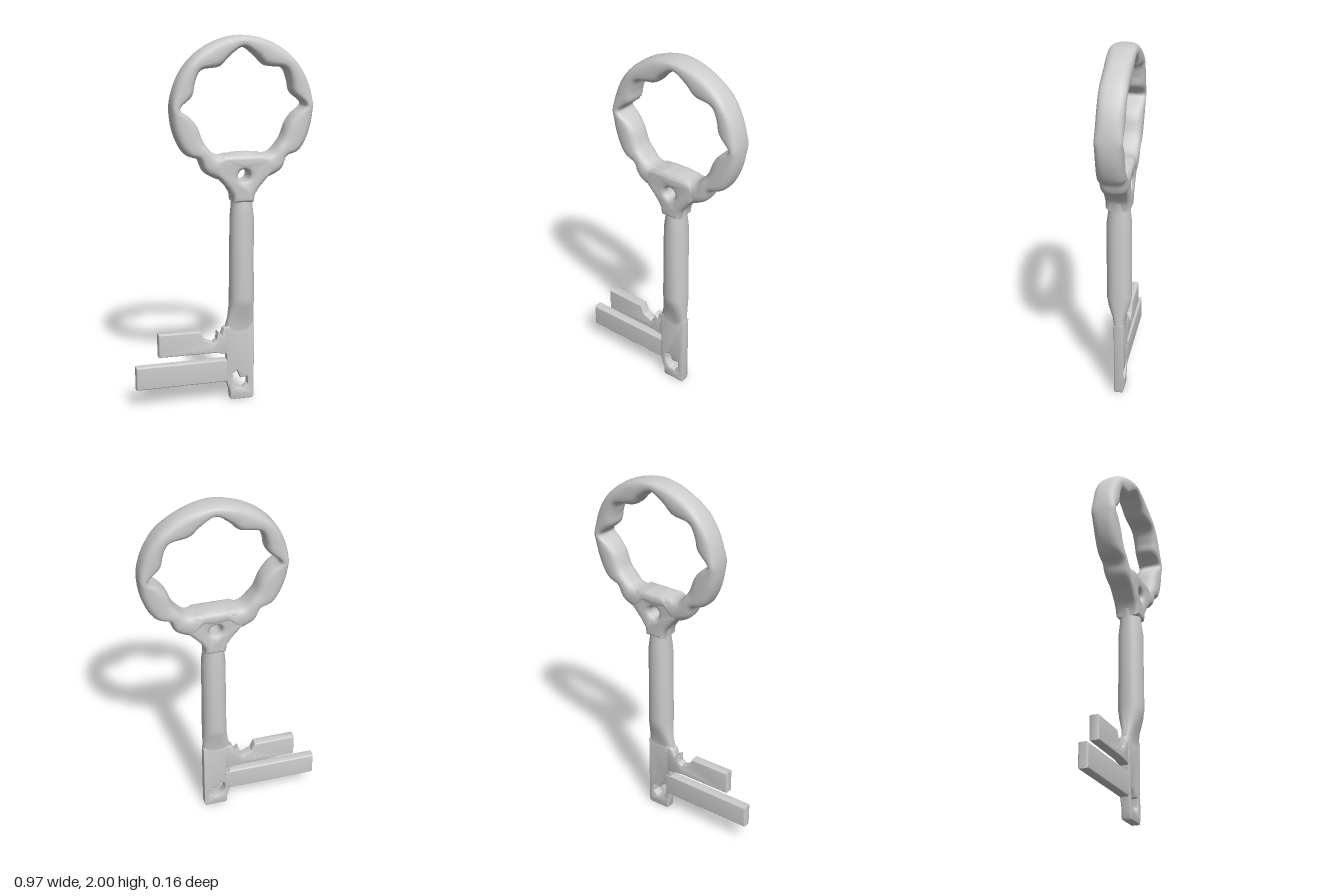
import * as THREE from 'three';
import { toCreasedNormals } from 'three/addons/utils/BufferGeometryUtils.js';

const material = new THREE.MeshStandardMaterial({ color: 0xcccccc });
const CX = 0.1; // axis of the shaft and ring
const RING_Y = 1.615;

// Superellipse point: k = 1 is round, smaller is boxier
const squircle = (phi, k) => [Math.cos(phi), Math.sin(phi)].map(v => Math.sign(v) * Math.abs(v) ** k);

// Skin a grid of cross-sections; every section is a closed loop
function loft(sections, closed) {
  const n = sections[0].length, rows = sections.length, index = [];
  for (let i = 0; i < (closed ? rows : rows - 1); i++) {
    for (let j = 0; j < n; j++) {
      const a = i * n + j, b = i * n + (j + 1) % n;
      const c = ((i + 1) % rows) * n + j, d = ((i + 1) % rows) * n + (j + 1) % n;
      index.push(a, b, c, b, d, c);
    }
  }
  const geo = new THREE.BufferGeometry();
  geo.setAttribute('position', new THREE.Float32BufferAttribute(sections.flat(2), 3));
  geo.setIndex(index);
  geo.computeVertexNormals();
  return geo;
}

// Bevelled plate from an outline, kept within the outline and the z range
function plate(outline, z0, z1, bevel, holes = []) {
  const toShape = pts => pts.map(p => new THREE.Vector2(...p));
  const shape = new THREE.Shape(toShape(outline));
  for (const h of holes) shape.holes.push(new THREE.Path(toShape(h)));
  const geo = new THREE.ExtrudeGeometry(shape, {
    depth: z1 - z0 - 2 * bevel, bevelThickness: bevel, bevelSize: bevel,
    bevelOffset: -bevel, bevelSegments: 4,
  });
  geo.translate(0, 0, z0 + bevel);
  return toCreasedNormals(geo, 0.7);
}

// Ring with a scalloped opening
function ringGeometry() {
  const half = [[0, 0.325], [0.075, 0.275], [0.12, 0.23], [0.225, 0.21], [0.255, 0.145],
    [0.268, 0.085], [0.335, 0.018], [0.28, -0.03], [0.244, -0.075], [0.21, -0.16],
    [0.15, -0.225], [0.095, -0.23], [0.04, -0.222], [0, -0.222]];
  const mirrored = half.slice(1, -1).reverse().map(([x, y]) => [-x, y]);
  const inner = new THREE.CatmullRomCurve3(
    [...half, ...mirrored].map(([x, y]) => new THREE.Vector3(x, y, 0)), true);
  const sections = [];
  for (let i = 0; i < 156; i++) {
    const p = inner.getPoint(i / 156), r0 = p.length(), dir = p.clone().normalize();
    const deg = THREE.MathUtils.radToDeg(Math.acos(THREE.MathUtils.clamp(dir.y, -1, 1)));
    // dips beside the collar, and a pulled-in base that leaves room for the eyelet
    const dip = 0.038 * Math.exp(-(((deg - 136) / 7) ** 2));
    const r1 = 0.385 - dip - 0.08 * THREE.MathUtils.smoothstep(deg, 159, 167);
    const depth = 0.07;
    const section = [];
    for (let j = 0; j < 24; j++) {
      const [u, w] = squircle(j / 24 * Math.PI * 2, 0.72);
      const r = (r0 + r1) / 2 + u * (r1 - r0) / 2;
      section.push([CX + dir.x * r, RING_Y + dir.y * r, w * depth - 0.026 * dir.y * r]);
    }
    sections.push(section);
  }
  return loft(sections, true);
}

// Round shaft flattening into the blade: y, left x, right x, back z, front z, boxiness
function shaftGeometry() {
  const rows = [
    [1.23, 0.02, 0.18, -0.04, 0.06, 0.9],
    [1.17, 0.038, 0.162, -0.045, 0.065, 1],
    [1.11, 0.043, 0.159, -0.048, 0.07, 1],
    [1.04, 0.037, 0.167, -0.055, 0.079, 0.95],
    [0.8, 0.035, 0.168, -0.056, 0.08, 0.95],
    [0.6, 0.034, 0.17, -0.056, 0.08, 0.9],
    [0.55, 0.034, 0.17, -0.048, 0.071, 0.85],
    [0.48, 0.025, 0.17, -0.027, 0.046, 0.7],
    [0.42, 0.01, 0.17, -0.017, 0.035, 0.5],
    [0.36, 0.012, 0.168, -0.016, 0.031, 0.4],
  ];
  return loft(rows.map(([y, x0, x1, z0, z1, k]) => Array.from({ length: 32 }, (_, j) => {
    const [u, w] = squircle(j / 32 * Math.PI * 2, k);
    return [(x0 + x1) / 2 + u * (x1 - x0) / 2, y, (z0 + z1) / 2 + w * (z1 - z0) / 2];
  })), false);
}

// Collar under the ring, pierced by a small eyelet
function collarGeometry() {
  const side = [[0.055, 1.13], [0.06, 1.17], [0.082, 1.206], [0.127, 1.257], [0.16, 1.29], [0.15, 1.36], [0.1, 1.385]];
  const outline = [...side.map(([x, y]) => [CX + x, y]),
    ...side.slice().reverse().map(([x, y]) => [CX - x, y])];
  const eyelet = Array.from({ length: 20 }, (_, i) => {
    const a = i / 20 * Math.PI * 2;
    return [CX + 0.033 * Math.cos(a), 1.275 + 0.033 * Math.sin(a)];
  });
  return plate(outline, -0.058, 0.078, 0.024, [eyelet]);
}

export function createModel() {
  const key = new THREE.Group();
  key.name = 'key';
  const add = (name, geo) => {
    const mesh = new THREE.Mesh(geo, material);
    mesh.name = name;
    key.add(mesh);
  };
  add('ring', ringGeometry());
  add('collar', collarGeometry());
  add('shaft', shaftGeometry());

  // Flat blade with a ragged hole near the tip
  const blade = [[0.042, 0], [0.165, 0], [0.172, 0.02], [0.172, 0.44], [0.03, 0.44], [0, 0.42],
    [0.012, 0.38], [0, 0.34], [0.015, 0.26], [0.015, 0.11], [0.035, 0.05], [0.036, 0.01]];
  const tipHole = [[0.045, 0.15], [0.075, 0.17], [0.095, 0.125], [0.135, 0.13],
    [0.137, 0.085], [0.11, 0.06], [0.075, 0.07], [0.052, 0.1]];
  add('blade', plate(blade, -0.018, 0.034, 0.008, [tipHole]));

  // Two bits on the right side; the upper one is notched beside the blade
  const lowerBit = [[-0.49, 0.11], [0.05, 0.11], [0.05, 0.24], [-0.49, 0.24]];
  const upperBit = [[-0.365, 0.287], [-0.06, 0.285], [0.04, 0.27], [0.04, 0.4], [0.02, 0.43],
    [0, 0.42], [-0.012, 0.385], [-0.035, 0.405], [-0.04, 0.36], [-0.06, 0.342], [-0.11, 0.365],
    [-0.13, 0.415], [-0.365, 0.417]];
  add('lowerBit', plate(lowerBit, -0.021, 0.032, 0.01));
  add('upperBit', plate(upperBit, -0.021, 0.032, 0.008));
  return key;
}
